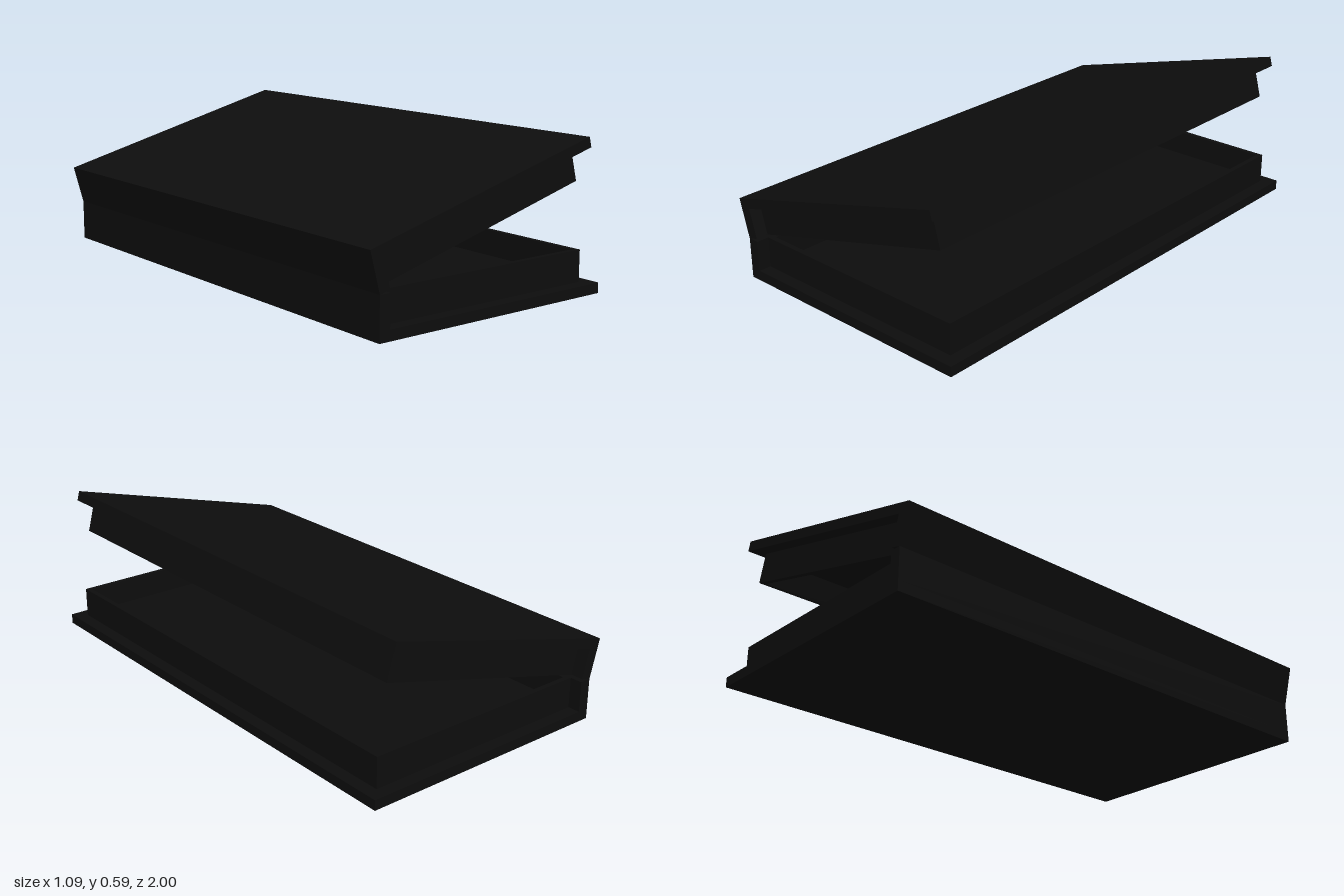
import * as THREE from 'three';

// Case dimensions
const LENGTH = 2, WIDTH = 1.05, HEIGHT = 0.162;
const PLATE = 0.04, SPINE = 0.045, WALL = 0.02;
const TRAY_END = 1.0, TRAY_Z = 0.95, HINGE_X = -0.505, TILT = Math.PI / 12;

const black = new THREE.MeshStandardMaterial({ color: 0x0d0d0d });
black.name = 'matte black';

// Box given by its minimum and maximum corners
function block(name, [x0, y0, z0], [x1, y1, z1]) {
  const geometry = new THREE.BoxGeometry(x1 - x0, y1 - y0, z1 - z0);
  geometry.translate((x0 + x1) / 2, (y0 + y1) / 2, (z0 + z1) / 2);
  const mesh = new THREE.Mesh(geometry, black);
  mesh.name = name;
  return mesh;
}

// Half of the case: hinge edge at the origin, the cover plate lies at
// outerY and the open rim at rimY (either may be the higher one)
function makeHalf(name, outerY, rimY) {
  const half = new THREE.Group();
  half.name = name;
  const dir = Math.sign(rimY - outerY);
  const inner = outerY + dir * PLATE;
  const floor = inner + dir * WALL;
  const part = (label, x0, x1, ya, yb, z0, z1) => half.add(
    block(label, [x0, Math.min(ya, yb), z0], [x1, Math.max(ya, yb), z1]));

  part('coverPlate', 0, WIDTH, outerY, inner, -LENGTH / 2, LENGTH / 2);
  part('spine', 0, SPINE, inner, rimY, -LENGTH / 2, LENGTH / 2);

  // Thin walled tray set in from the edges of the plate
  part('trayFloor', SPINE, TRAY_END, inner, floor, -TRAY_Z, TRAY_Z);
  part('trayBackWall', SPINE, SPINE + WALL, floor, rimY, -TRAY_Z, TRAY_Z);
  part('trayOpeningWall', TRAY_END - WALL, TRAY_END, floor, rimY, -TRAY_Z, TRAY_Z);
  for (const [side, z] of [['Front', TRAY_Z - WALL], ['Rear', -TRAY_Z]]) {
    part('tray' + side + 'Wall', SPINE + WALL, TRAY_END - WALL, floor, rimY, z, z + WALL);
  }
  return half;
}

export function createModel() {
  const model = new THREE.Group();
  model.name = 'hingedCase';

  const base = makeHalf('base', 0, HEIGHT);
  base.position.x = HINGE_X;

  // Lid is the mirrored half, swung open about the hinge edge
  const lid = makeHalf('lid', HEIGHT - 0.004, 0);
  lid.position.set(HINGE_X, HEIGHT, 0);
  lid.rotation.z = TILT;

  model.add(base, lid);
  return model;
}
